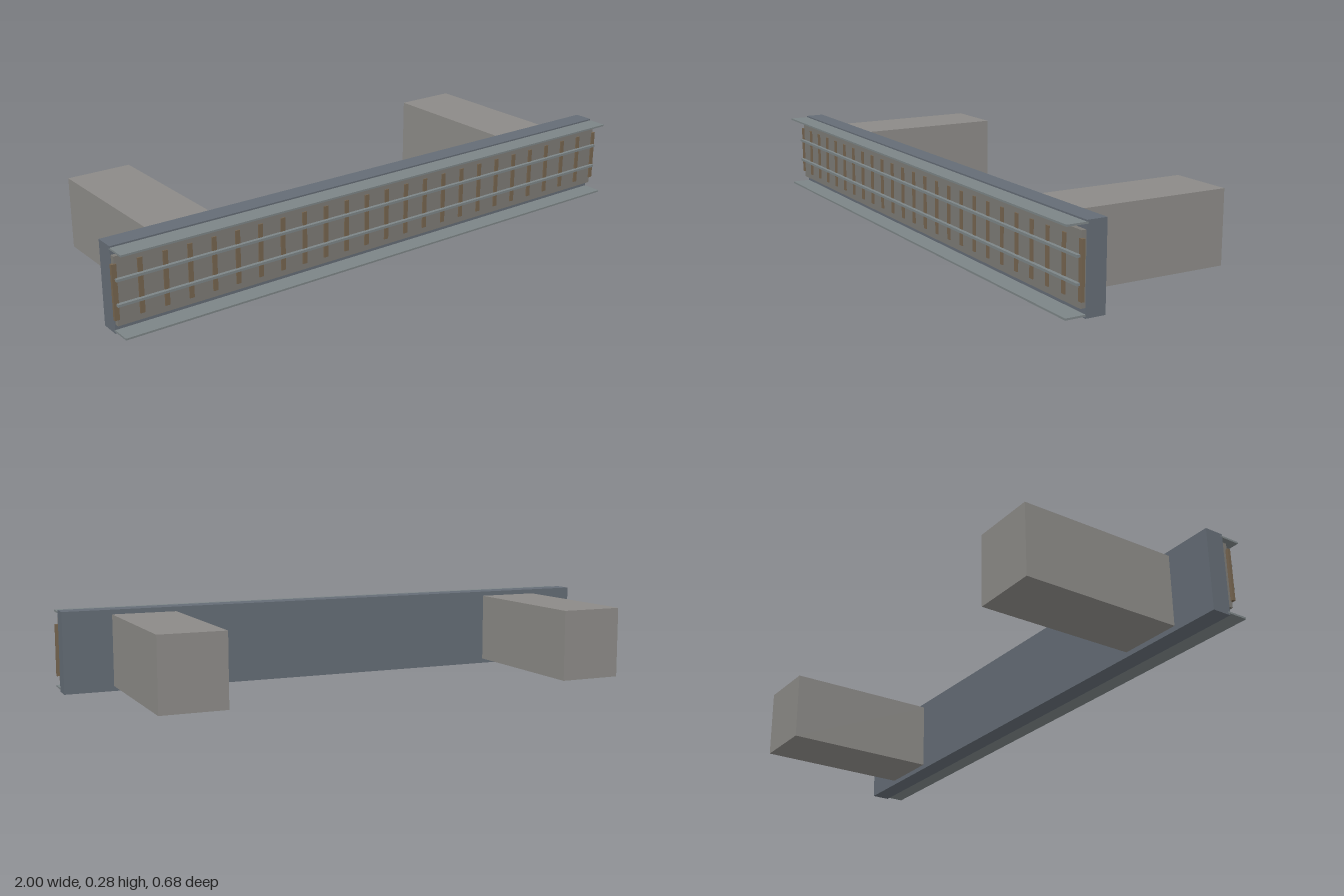
import * as THREE from 'three';

const paint = (color) => new THREE.MeshStandardMaterial({ color });

export function createModel() {
  const model = new THREE.Group();
  const steel = paint(0x646c75);
  const paleSteel = paint(0x7c8486);
  const concrete = paint(0x8c8a87);
  const panelGrey = paint(0x7c7a75);
  const rust = paint(0x75644f);

  // Adds a box given its [min, max] extent along each axis
  const addBox = (name, [x0, x1], [y0, y1], [z0, z1], material) => {
    const mesh = new THREE.Mesh(new THREE.BoxGeometry(x1 - x0, y1 - y0, z1 - z0), material);
    mesh.position.set((x0 + x1) / 2, (y0 + y1) / 2, (z0 + z1) / 2);
    mesh.name = name;
    model.add(mesh);
  };

  const span = [-0.992, 0.992];

  // Main beam and the panel on its front
  addBox('beam', span, [0, 0.276], [0.21, 0.276], steel);
  addBox('frontPanel', [-0.99, 0.99], [0.03, 0.249], [0.27, 0.292], panelGrey);

  // Thin flanges reaching forward above and below the panel
  addBox('lowerFlange', span, [0.006, 0.012], [0.27, 0.342], paleSteel);
  addBox('upperFlange', span, [0.265, 0.271], [0.27, 0.342], paleSteel);

  // Upright slats along the panel
  const slatCount = 25;
  for (let i = 0; i < slatCount; i++) {
    const x = -0.992 + (1.984 * i) / (slatCount - 1);
    addBox('slat', [x - 0.008, x + 0.008], [0.051, 0.227], [0.286, 0.296], rust);
  }

  // Long rails in front of the slats
  for (const y of [0.1, 0.179]) {
    addBox('rail', span, [y - 0.004, y + 0.004], [0.295, 0.307], paleSteel);
  }

  // Support blocks behind the beam
  addBox('rightSupport', [-0.827, -0.606], [0.017, 0.26], [-0.342, 0.212], concrete);
  addBox('leftSupport', [0.604, 0.825], [0.017, 0.26], [-0.342, 0.212], concrete);

  return model;
}
